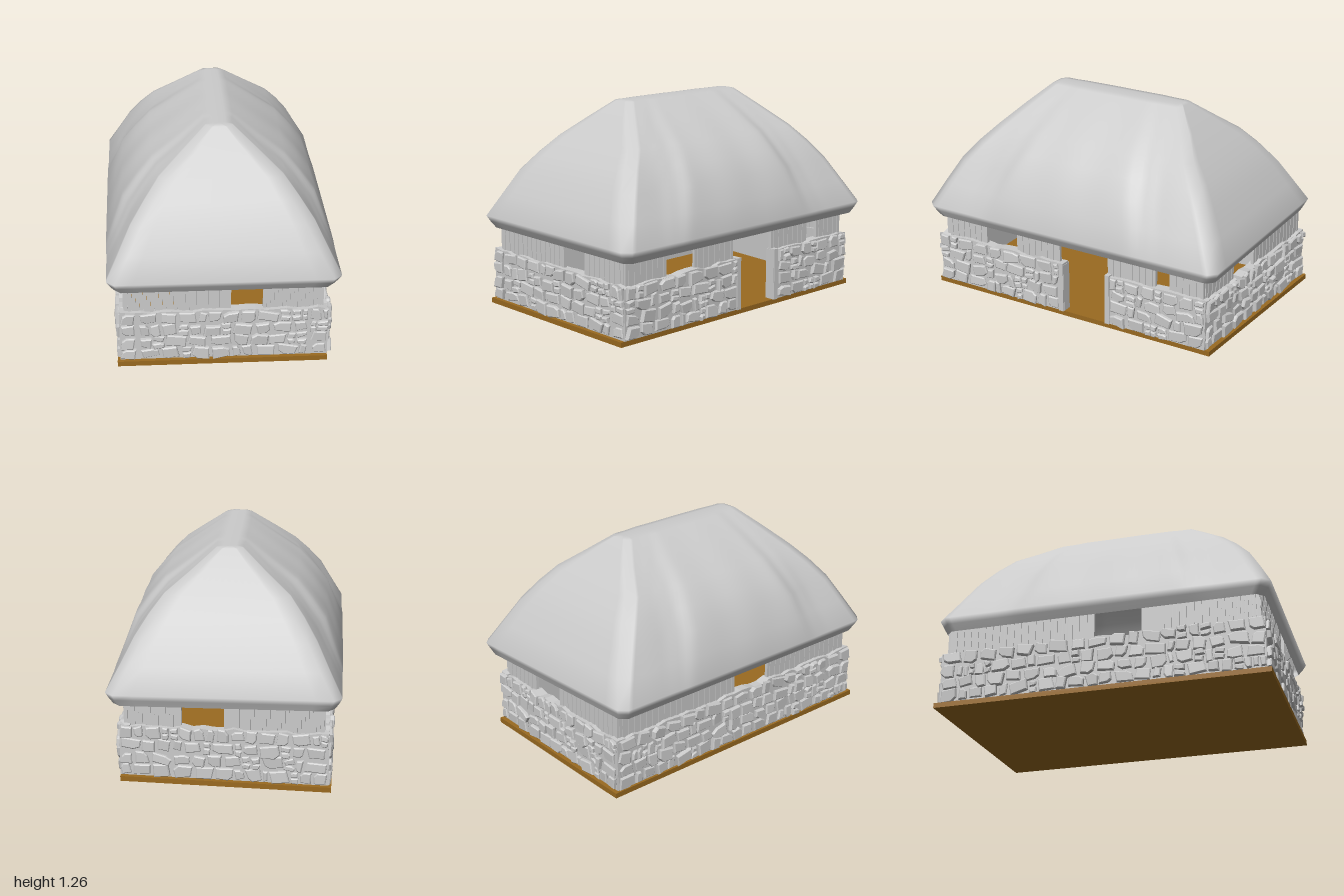
import * as THREE from 'three';
import { mergeGeometries } from 'three/addons/utils/BufferGeometryUtils.js';

const grey = new THREE.MeshStandardMaterial({ color: 0xcccccc, side: THREE.DoubleSide });
const facet = new THREE.MeshStandardMaterial({ color: 0xcccccc, flatShading: true });
const earth = new THREE.MeshStandardMaterial({ color: 0x9a6a20 });
const { lerp, clamp, smoothstep } = THREE.MathUtils;

let seed = 7;
const rand = (a = 0, b = 1) => {
  seed = (seed * 16807) % 2147483647;
  return a + (b - a) * (seed / 2147483647);
};

function add(parent, name, geometry, material) {
  const mesh = new THREE.Mesh(geometry, material);
  mesh.name = name;
  parent.add(mesh);
  return mesh;
}

const BASE = 0.03, TOP = 0.337, THICK = 0.06;

// Low wall with an uneven top edge, outer face at z = 0
function wallGeometry(u0, u1) {
  const shape = new THREE.Shape();
  shape.moveTo(u0, BASE);
  shape.lineTo(u1, BASE);
  const n = Math.ceil((u1 - u0) / 0.06);
  for (let i = n; i >= 0; i--) shape.lineTo(u0 + (u1 - u0) * i / n, TOP + rand(-0.012, 0.008));
  return new THREE.ExtrudeGeometry(shape, { depth: THICK, bevelEnabled: false }).translate(0, 0, -THICK);
}

// One irregular bevelled stone centred at (u, v)
function stoneGeometry(u, v, w, h) {
  const corners = [[-1, -1], [1, -1], [1, 1], [-1, 1]];
  const cut = Math.floor(rand(0, 6));
  const points = [];
  corners.forEach(([a, b], i) => {
    const x = a * w / 2 * rand(0.68, 1), y = b * h / 2 * rand(0.7, 1);
    if (i === cut) {
      const first = [x * 0.4, y], second = [x, y * 0.4];
      points.push(...(a * b > 0 ? [second, first] : [first, second]));
    } else points.push([x, y]);
  });
  const shape = new THREE.Shape(points.map(([x, y]) => new THREE.Vector2(x, y)));
  const bevel = 0.006;
  const geometry = new THREE.ExtrudeGeometry(shape, {
    depth: rand(0.005, 0.02), bevelThickness: bevel, bevelSize: bevel, bevelOffset: -bevel, bevelSegments: 1,
  });
  return geometry.rotateX(rand(-0.08, 0.08)).rotateY(rand(-0.1, 0.1)).rotateZ(rand(-0.2, 0.2)).translate(u, v, 0);
}

// Rows of mixed large and small stones over a stretch of wall
function stonesGeometry(u0, u1) {
  const list = [], rows = 4, rowHeight = (TOP - BASE) / rows;
  for (let r = 0; r < rows; r++) {
    const v = BASE + rowHeight * (r + 0.5);
    for (let u = u0; u < u1 - 0.02;) {
      let w = Math.min(rand(0.035, 0.135), u1 - u);
      if (u1 - u - w < 0.03) w = u1 - u;
      const c = u + w / 2;
      if (w < 0.07 && rand() < 0.6) {
        for (const k of [-0.26, 0.26]) list.push(stoneGeometry(c, v + rowHeight * k, w, rowHeight * 0.5));
      } else {
        const shift = r === 0 ? 0.003 : r === rows - 1 ? 0.002 : rand(-0.01, 0.01);
        list.push(stoneGeometry(c, v + shift, w - 0.004, rowHeight * rand(0.85, 1.12)));
      }
      u += w;
    }
  }
  return mergeGeometries(list);
}

// Narrow upright boards rising from the low wall into the thatch
function planksGeometry(u0, u1) {
  const n = Math.max(1, Math.round((u1 - u0) / 0.022)), w = (u1 - u0) / n, list = [];
  for (let i = 0; i < n; i++) {
    list.push(new THREE.BoxGeometry(w * 0.97, 0.32, 0.02)
      .translate(u0 + (i + 0.5) * w, 0.45, -0.036 + (i % 2) * 0.003));
  }
  return mergeGeometries(list);
}

// Thatch levels: height, middle half width, hip half width, front z, back z, corner cut, fold depth
const THATCH = [
  [0.47, 0.62, 0.62, 0.955, -0.945, 0.04, 0],
  [0.51, 0.645, 0.643, 0.98, -0.963, 0.04, 0],
  [0.545, 0.665, 0.66, 1.0, -0.98, 0.045, 0],
  [0.68, 0.613, 0.588, 0.935, -0.91, 0.05, 0.008],
  [0.82, 0.56, 0.515, 0.86, -0.83, 0.05, 0.014],
  [0.93, 0.475, 0.437, 0.775, -0.75, 0.05, 0.018],
  [1.03, 0.388, 0.355, 0.68, -0.66, 0.045, 0.018],
  [1.14, 0.235, 0.215, 0.575, -0.555, 0.04, 0.014],
  [1.25, 0.085, 0.075, 0.46, -0.44, 0.03, 0.005],
  [1.256, 0.04, 0.035, 0.44, -0.42, 0.015, 0],
  [1.256, 0, 0, 0.42, -0.4, 0, 0],
];

// Closed loop of points round the thatch at one level
function thatchRing([y, w, wc, zf, zb, k, fold]) {
  const ring = [], nEnd = 12, nSide = 60;
  const t = clamp((y - 0.545) / 0.71, 0, 1);
  const vf = lerp(0.58, 0.36, t), vb = lerp(-0.5, -0.31, t);
  // The hips step out to the fuller middle at two slanting valleys
  const sideX = (z) => {
    const inward = Math.min(vf - z, z - vb);
    const x = lerp(wc, w, smoothstep(inward, -0.13, 0.07));
    return x - fold * Math.exp(-((inward / 0.05) ** 2)) + fold * 0.2 * Math.sin(z * 17);
  };
  const end = wc - k;
  for (let i = 0; i <= nEnd; i++) ring.push([end * (2 * i / nEnd - 1), y, zf]);
  for (let i = 0; i <= nSide; i++) {
    const z = lerp(zf - k, zb + k, i / nSide);
    ring.push([sideX(z), y, z]);
  }
  for (let i = 0; i <= nEnd; i++) ring.push([end * (1 - 2 * i / nEnd), y, zb]);
  for (let i = 0; i <= nSide; i++) {
    const z = lerp(zb + k, zf - k, i / nSide);
    ring.push([-sideX(z), y, z]);
  }
  return ring;
}

function thatchGeometry() {
  const rings = THATCH.map(thatchRing), n = rings[0].length, index = [];
  for (let i = 0; i < rings.length - 1; i++) {
    for (let j = 0; j < n; j++) {
      const a = i * n + j, b = i * n + (j + 1) % n;
      index.push(a, b, b + n, a, b + n, a + n);
    }
  }
  const geometry = new THREE.BufferGeometry();
  geometry.setAttribute('position', new THREE.Float32BufferAttribute(rings.flat(2), 3));
  geometry.setIndex(index);
  geometry.computeVertexNormals();
  return geometry;
}

export function createModel() {
  const house = new THREE.Group();
  house.name = 'thatchedHouse';

  // Floor slab, with its back edge slightly askew
  const plan = new THREE.Shape([[-0.61, -0.98], [0.59, -0.98], [0.59, 0.925], [-0.61, 0.995]]
    .map(([x, z]) => new THREE.Vector2(x, z)));
  const slab = new THREE.ExtrudeGeometry(plan, { depth: 0.03, bevelEnabled: false }).rotateX(-Math.PI / 2);
  add(house, 'floorSlab', slab, earth);

  // Each side runs along its own local x, with z pointing outward; the back wall follows the slab
  const sides = [
    { name: 'front', turn: 0, at: [0, 0.955], walls: [[-0.592, 0.592]],
      stones: [[-0.592, -0.5], [-0.485, 0.475], [0.49, 0.592]], planks: [[-0.565, 0.04], [0.22, 0.55]] },
    { name: 'left', turn: Math.PI / 2, at: [0.592, 0], walls: [[-0.955, -0.05], [0.235, 0.895]],
      stones: [[-0.955, -0.085], [0.27, 0.895]], jambs: [-0.067, 0.252],
      planks: [[-0.925, -0.62], [-0.4, -0.09], [0.24, 0.56], [0.65, 0.87]] },
    { name: 'back', turn: Math.PI - 0.06, at: [0, -0.932], walls: [[-0.592, 0.592]],
      stones: [[-0.592, 0.592]], planks: [[-0.55, -0.24], [0, 0.565]] },
    { name: 'right', turn: -Math.PI / 2, at: [-0.595, 0], walls: [[-0.965, 0.955]],
      stones: [[-0.965, 0.955]], planks: [[-0.93, -0.04], [0.24, 0.925]] },
  ];
  for (const s of sides) {
    const side = new THREE.Group();
    side.name = s.name + 'Side';
    side.rotation.y = s.turn;
    side.position.set(s.at[0], 0, s.at[1]);
    add(side, s.name + 'LowWall', mergeGeometries(s.walls.map((r) => wallGeometry(...r))), facet);
    add(side, s.name + 'Stones', mergeGeometries(s.stones.map((r) => stonesGeometry(...r))), facet);
    add(side, s.name + 'Planks', mergeGeometries(s.planks.map((r) => planksGeometry(...r))), facet);
    // Upright slabs beside the doorway
    for (const u of s.jambs ?? []) {
      add(side, 'doorJamb', new THREE.BoxGeometry(0.03, 0.315, 0.06), facet).position.set(u, 0.187, -0.022);
    }
    house.add(side);
  }

  // Thatched roof
  add(house, 'thatchedRoof', thatchGeometry(), grey);
  return house;
}
